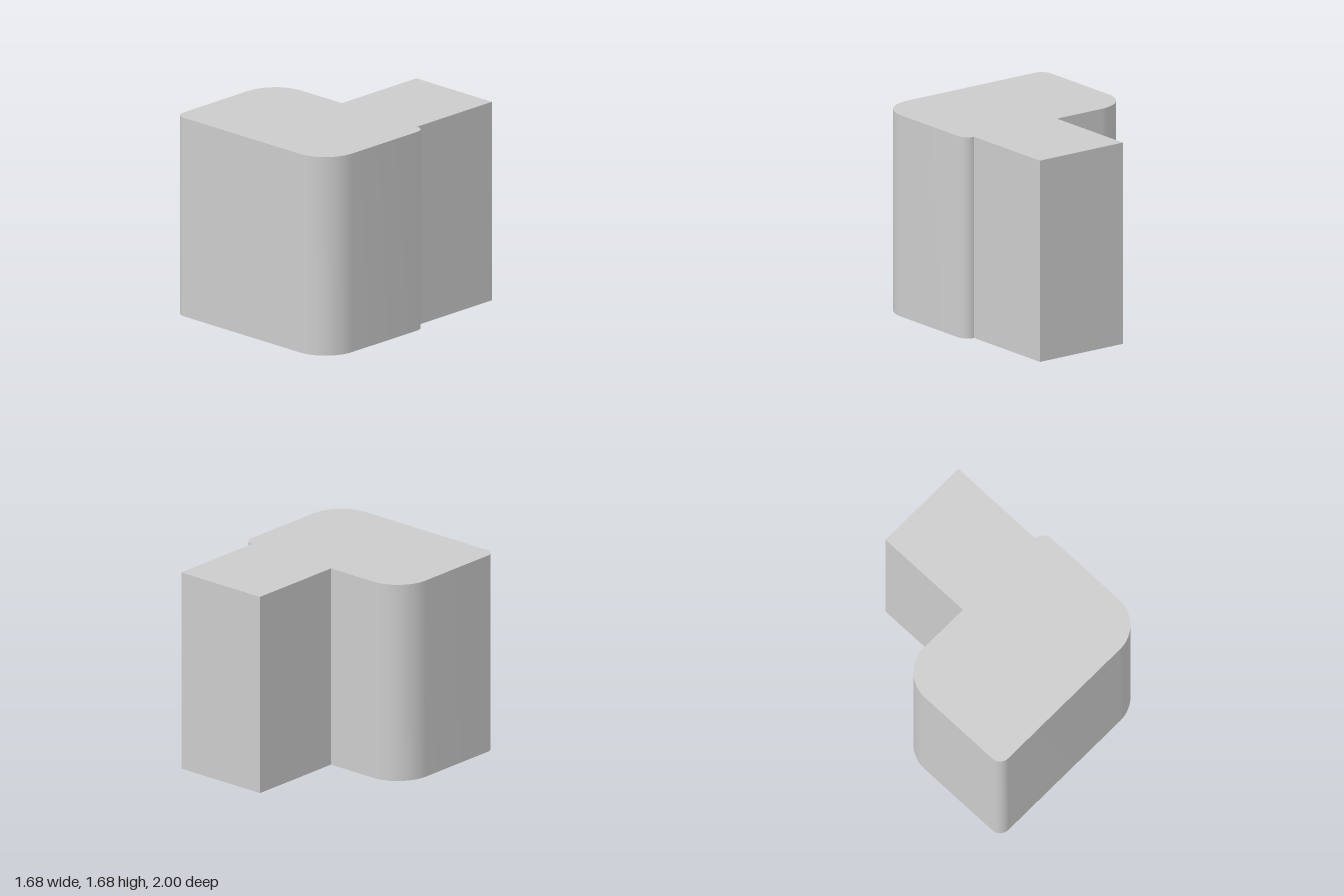
import * as THREE from 'three';
import { toCreasedNormals } from 'three/addons/utils/BufferGeometryUtils.js';

export function createModel() {
  const group = new THREE.Group();
  const height = 1.68, half = 0.84, back = 0.14, front = -1;
  const big = 0.3, small = 0.09;
  const q = Math.PI / 2;

  // Plan outline, counter-clockwise; shape y is -z
  const plan = new THREE.Shape();
  plan.moveTo(-half + small, front);
  plan.absarc(half - big, front + big, big, -q, 0, false);      // front, wide corner
  plan.absarc(half - small, back - small, small, 0, q, false);  // back, tight corner
  plan.lineTo(0.75, 1);                                         // rear wing
  plan.lineTo(-0.09, 1);
  plan.lineTo(-0.09, back);
  plan.absarc(-half + big, back - big, big, q, 2 * q, false);   // back, wide corner
  plan.absarc(-half + small, front + small, small, 2 * q, 3 * q, false); // front, tight corner

  // Upright block with smooth rounded corners and sharp edges
  const solid = new THREE.ExtrudeGeometry(plan, { depth: height, bevelEnabled: false, curveSegments: 16 });
  solid.rotateX(-q);
  const block = new THREE.Mesh(
    toCreasedNormals(solid, 0.5),
    new THREE.MeshStandardMaterial({ color: 0xcccccc })
  );
  block.name = 'roundedBlockWithRearWing';
  group.add(block);
  return group;
}
